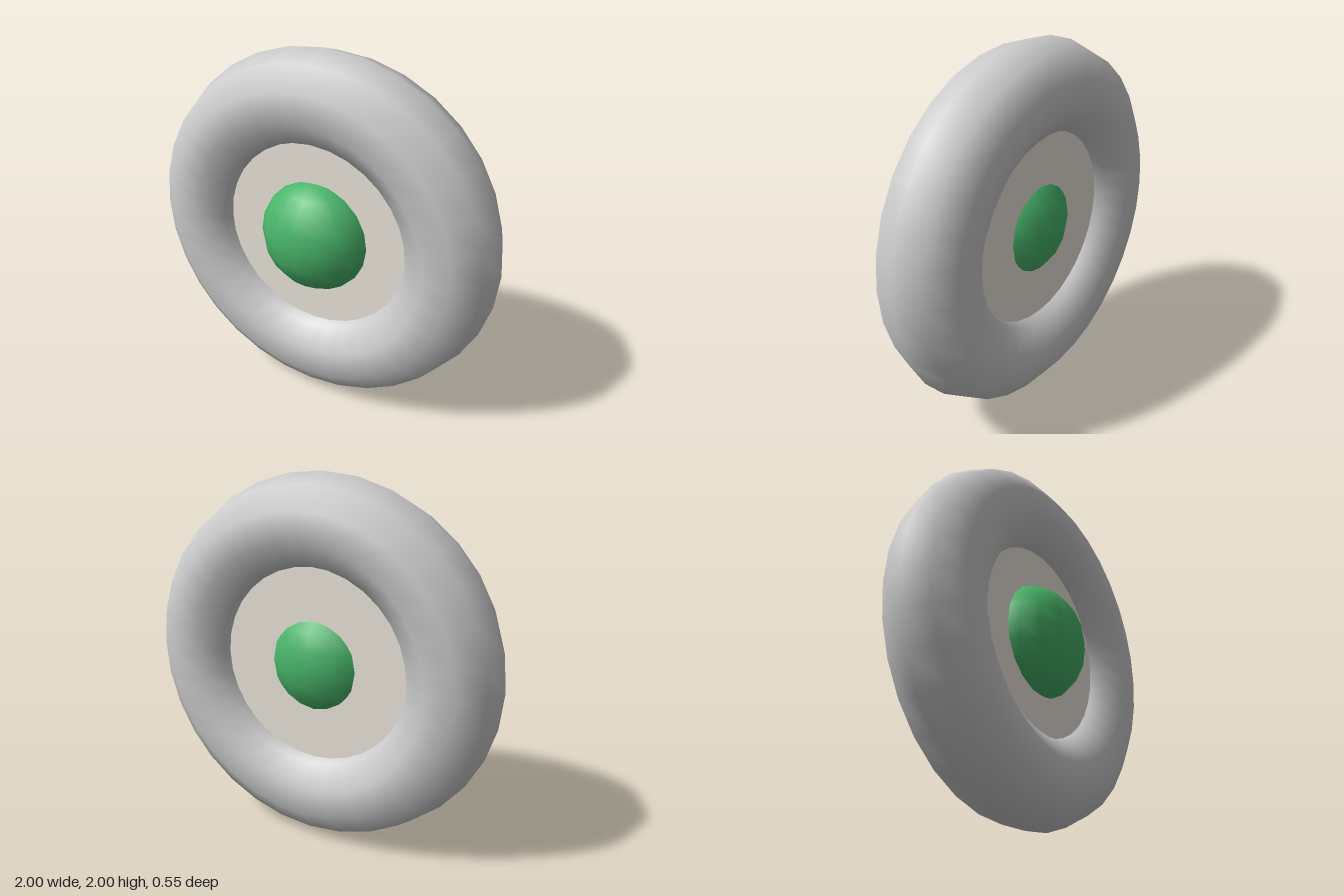
import * as THREE from 'three';

export function createModel() {
  const model = new THREE.Group();
  const wheel = new THREE.Group();
  wheel.name = 'wheel';
  wheel.position.set(0, 1, -0.039);
  model.add(wheel);

  function addPart(name, geometry, color) {
    const mesh = new THREE.Mesh(geometry, new THREE.MeshStandardMaterial({ color }));
    mesh.name = name;
    wheel.add(mesh);
    return mesh;
  }

  // Round tire with a ten-sided section
  addPart('tire', new THREE.TorusGeometry(0.75, 0.25, 10, 32), 0xcccccc);

  // Flat disc filling the hole, its rim buried in the tire
  const disc = new THREE.CylinderGeometry(0.55, 0.55, 0.2, 32).rotateX(Math.PI / 2);
  addPart('wheelDisc', disc, 0xede8de);

  // Flattened ball through the disc, standing out further at the front
  const hub = addPart('hubCap', new THREE.SphereGeometry(0.32, 16, 10), 0x48b56a);
  hub.scale.z = 0.8;
  hub.position.z = 0.06;

  return model;
}
